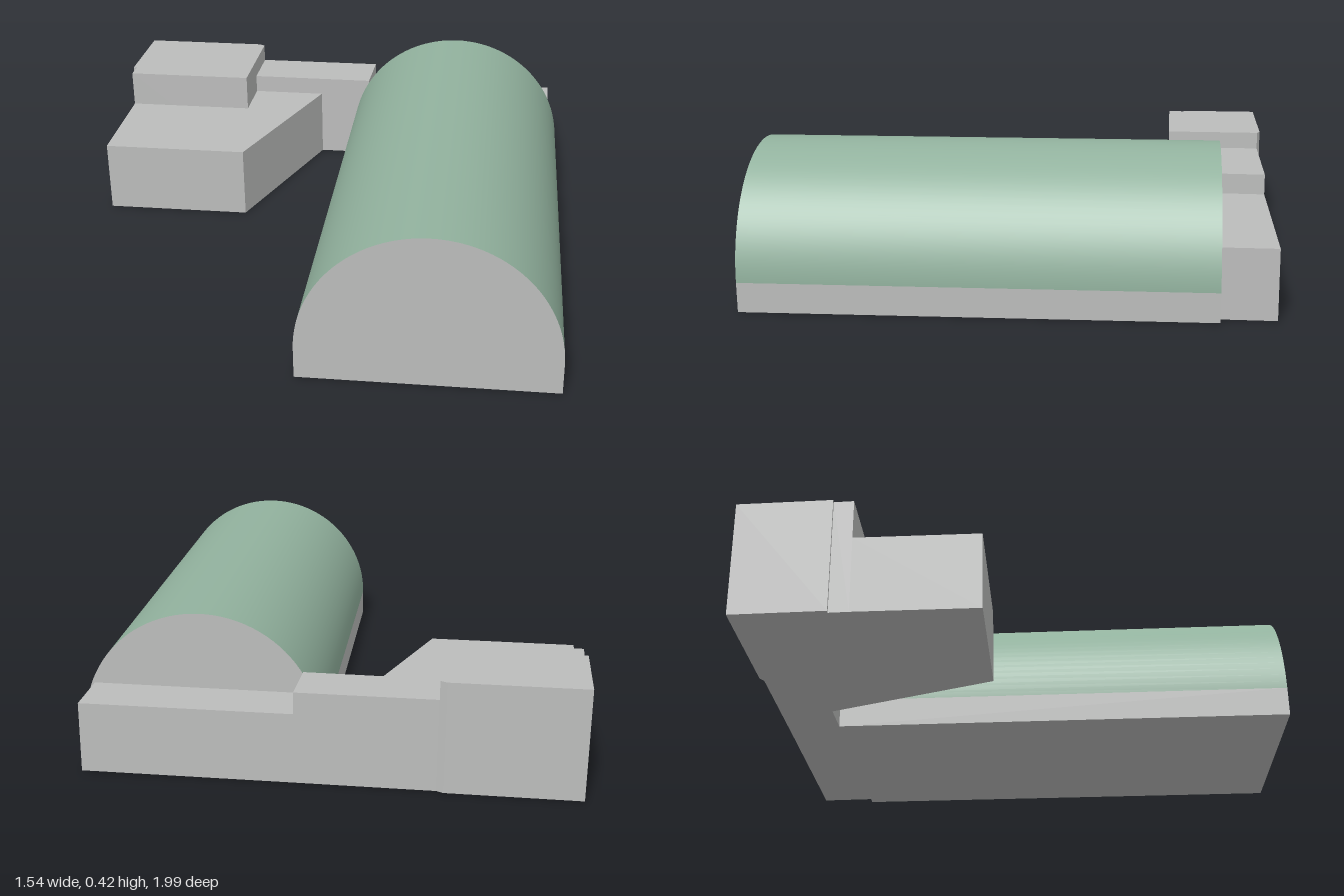
import * as THREE from 'three';

const grey = new THREE.MeshStandardMaterial({ color: 0xbcbdbc });
grey.name = 'concrete grey';
const green = new THREE.MeshStandardMaterial({ color: 0x92b29e });
green.name = 'roof green';

function add(parent, name, geometry, material) {
  const mesh = new THREE.Mesh(geometry, material);
  mesh.name = name;
  parent.add(mesh);
  return mesh;
}

// Upright prism from a ground plan of [x, z] corners
function prism(plan, height) {
  const shape = new THREE.Shape(plan.map(([x, z]) => new THREE.Vector2(x, -z)));
  return new THREE.ExtrudeGeometry(shape, { depth: height, bevelEnabled: false }).rotateX(-Math.PI / 2);
}

// Vaulted hall, built along x and then turned
function createHall() {
  const length = 1.302, radius = 0.334, wallHeight = 0.083;
  const hall = new THREE.Group();
  hall.name = 'vaultedHall';

  const walls = new THREE.BoxGeometry(length, wallHeight, radius * 2).translate(0, wallHeight / 2, 0);
  add(hall, 'hallWalls', walls, grey);

  const vault = new THREE.CylinderGeometry(radius, radius, length, 48, 1, true, 0, Math.PI).rotateZ(Math.PI / 2);
  add(hall, 'barrelRoof', vault, green).position.y = wallHeight;

  for (const side of [-1, 1]) {
    const gable = new THREE.CircleGeometry(radius, 48, 0, Math.PI).rotateY(side * Math.PI / 2);
    add(hall, side < 0 ? 'frontGable' : 'rearGable', gable, grey).position.set(side * length / 2, wallHeight, 0);
  }

  hall.position.set(-0.052, 0, 0.325);
  hall.rotation.y = 0.666;
  return hall;
}

export function createModel() {
  const model = new THREE.Group();
  model.name = 'hallWithAnnexes';
  model.add(createHall());

  // Low annex along the rear gable
  add(model, 'lowAnnex', prism([[0.77, 0.07], [0.648, 0.162], [0.283, -0.302], [0.405, -0.389]], 0.2), grey);
  // Link between the low annex and the tower
  add(model, 'linkBlock', prism([[0.405, -0.389], [0.283, -0.302], [0.05, -0.602], [0.167, -0.69]], 0.262), grey);
  // Tall corner block with small setbacks in its outer walls
  add(model, 'cornerTower', prism([
    [-0.066, -1.0], [0.163, -0.71], [0.167, -0.69], [-0.066, -0.513],
    [-0.299, -0.81], [-0.257, -0.841], [-0.264, -0.849],
  ], 0.315), grey);
  // Side wing with a slanted front
  add(model, 'sideWing', prism([
    [-0.299, -0.81], [-0.553, -0.608], [-0.292, -0.275], [0.187, -0.428], [0.05, -0.602], [-0.066, -0.513],
  ], 0.208), grey);

  return model;
}
